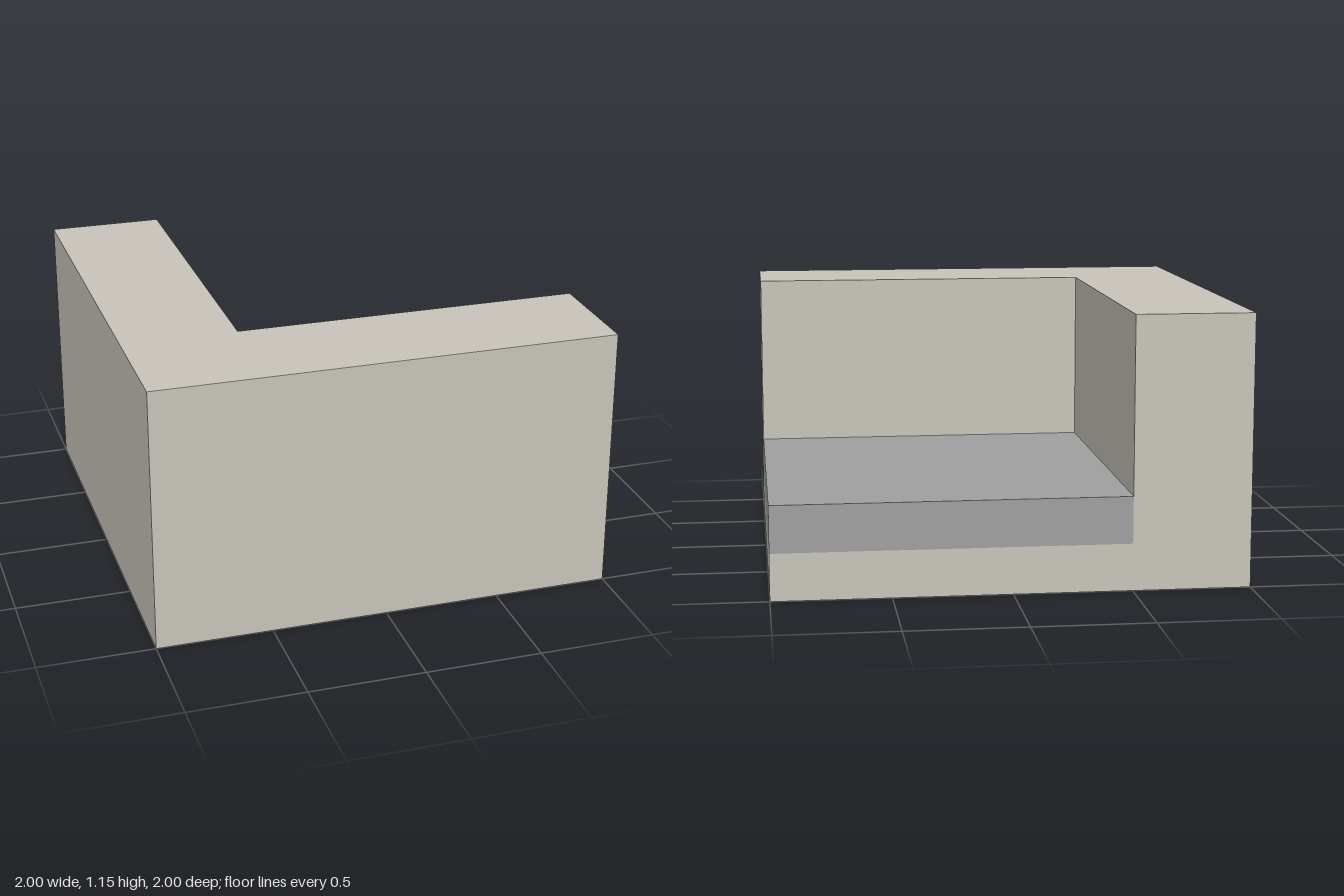
import * as THREE from 'three';

export function createModel() {
  const group = new THREE.Group();
  const stone = new THREE.MeshStandardMaterial({ color: 0xc8c4bb });
  stone.name = 'warm stone';
  const grey = new THREE.MeshStandardMaterial({ color: 0xa0a0a0 });
  grey.name = 'cushion grey';

  const add = (name, geometry, material, x, y, z) => {
    const mesh = new THREE.Mesh(geometry, material);
    mesh.name = name;
    mesh.position.set(x, y, z);
    group.add(mesh);
  };

  const baseTop = 0.2, seatTop = 0.4, wallTop = 1.155;

  // Square base under everything
  add('base', new THREE.BoxGeometry(2, baseTop, 2), stone, 0, baseTop / 2, 0);

  // Seat slab in the open corner
  add('seat', new THREE.BoxGeometry(1.5, seatTop - baseTop, 1.5), grey,
    0.25, (baseTop + seatTop) / 2, -0.25);

  // L-shaped wall along the front and right sides (shape y is -z)
  const outline = [[-1, -1], [1, -1], [1, -0.5], [-0.5, -0.5], [-0.5, 1], [-1, 1]];
  const shape = new THREE.Shape(outline.map(([x, y]) => new THREE.Vector2(x, y)));
  const wall = new THREE.ExtrudeGeometry(shape, { depth: wallTop - baseTop, bevelEnabled: false });
  wall.rotateX(-Math.PI / 2);
  add('cornerWall', wall, stone, 0, baseTop, 0);

  return group;
}
